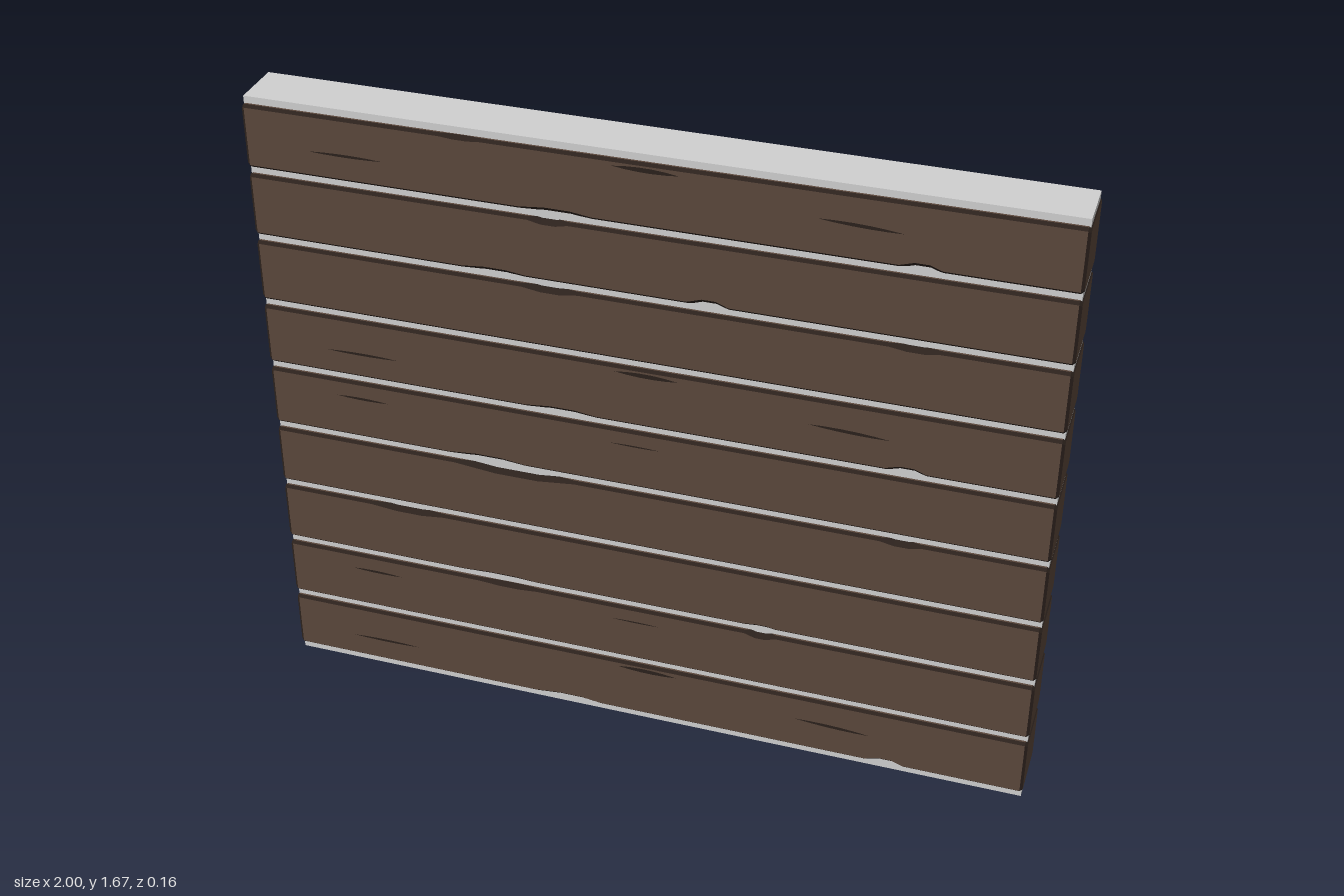
import * as THREE from 'three';

const PITCH = 0.183, FIRST = 0.1025, H = 0.0825, D = 0.08, BEVEL = 0.007;
const TF = 0, BF = 1, BB = 2, TB = 3; // beam edges: top/bottom, front/back

const wood = new THREE.MeshStandardMaterial({ name: 'brown wood', color: 0x5b473b });
const dark = new THREE.MeshStandardMaterial({ name: 'dark edge', color: 0x2b211c });
const mortar = new THREE.MeshStandardMaterial({ name: 'pale filling', color: 0xd0d0d0 });

// Chips per beam, bottom to top: [edge, x, half width, depth]
const chips = [
  [[BF, -0.22, 0.09, 0.014], [BF, 0.64, 0.05, 0.018], [TB, -0.3, 0.1, 0.012]],
  [[TF, 0.3, 0.04, 0.016], [TF, -0.38, 0.08, 0.011], [TB, 0.65, 0.07, 0.018], [TB, -0.25, 0.1, 0.024]],
  [[BF, 0.3, 0.04, 0.011], [BF, -0.4, 0.1, 0.011], [BB, 0.2, 0.12, 0.015], [TF, -0.65, 0.1, 0.014]],
  [[TF, -0.35, 0.16, 0.018], [TF, 0.64, 0.05, 0.014], [TB, 0.5, 0.07, 0.016]],
  [[BF, -0.42, 0.1, 0.014], [TB, 0.65, 0.06, 0.016], [BB, -0.3, 0.1, 0.012]],
  [[BF, -0.22, 0.09, 0.014], [BF, 0.64, 0.05, 0.018], [TB, 0.75, 0.12, 0.016]],
  [[TF, -0.24, 0.07, 0.014], [TF, 0.64, 0.06, 0.013], [TB, 0.65, 0.06, 0.019]],
  [[BF, 0.15, 0.05, 0.019], [BF, -0.38, 0.08, 0.013], [TF, -0.24, 0.05, 0.014], [TB, -0.15, 0.07, 0.022]],
  [[BF, -0.22, 0.09, 0.014], [BF, 0.64, 0.05, 0.018], [BB, -0.15, 0.06, 0.014], [TF, -0.45, 0.05, 0.01]],
];

// Cracks: [x, height above beam centre, length, thickness, tilt]
const manyCracks = [[-0.74, -0.013, 0.19, 0.007, 0.01], [0.5, 0.008, 0.2, 0.009, -0.03], [0, 0.066, 0.16, 0.012, 0]];
const fewCracks = [[-0.75, 0.036, 0.14, 0.007, 0], [-0.03, 0.04, 0.13, 0.004, 0]];
const cracks = { 0: manyCracks, 1: fewCracks, 4: fewCracks, 5: manyCracks, 8: manyCracks };

// Chamfered beam whose bevels widen into chips along its length
function beamGeometry(list) {
  const xs = [-1 + BEVEL, 1 - BEVEL];
  for (const [, x, w] of list) xs.push(x - w, x - w * 0.3, x + w * 0.4, x + w);
  xs.sort((a, b) => a - b);
  const bevelAt = (edge, x) => {
    let c = BEVEL;
    for (const [e, cx, w, depth] of list) {
      if (e !== edge) continue;
      const t = (x - cx) / w;
      const k = t < 0 ? Math.min(1, (1 + t) / 0.7) : Math.min(1, (1 - t) / 0.6);
      if (k > 0) c = Math.max(c, BEVEL + (depth - BEVEL) * k);
    }
    return c;
  };
  const ring = (x, inset) => {
    const h = H - inset, d = D - inset;
    const [a, b, c, e] = [TF, BF, BB, TB].map((i) => bevelAt(i, x));
    return [[h, d - a], [h - a, d], [b - h, d], [-h, d - b],
      [-h, c - d], [c - h, -d], [h - e, -d], [h, e - d]].map(([y, z]) => [x, y, z]);
  };
  const rings = [ring(-1, BEVEL * 0.7), ...xs.map((x) => ring(x, 0)), ring(1, BEVEL * 0.7)];
  const faces = [[], []]; // wood, dark
  for (let i = 0; i < rings.length - 1; i++) {
    const endBevel = i === 0 || i === rings.length - 2;
    for (let j = 0; j < 8; j++) {
      const k = (j + 1) % 8;
      const a = rings[i][j], b = rings[i][k], c = rings[i + 1][k], d = rings[i + 1][j];
      faces[endBevel || j % 2 === 0 ? 1 : 0].push(a, b, c, a, c, d);
    }
  }
  const first = rings[0], last = rings[rings.length - 1];
  for (let j = 1; j < 7; j++) {
    faces[0].push(last[0], last[j], last[j + 1], first[0], first[j + 1], first[j]);
  }
  const geo = new THREE.BufferGeometry();
  geo.setAttribute('position', new THREE.Float32BufferAttribute(faces.flat(2), 3));
  geo.addGroup(0, faces[0].length, 0);
  geo.addGroup(faces[0].length, faces[1].length, 1);
  geo.computeVertexNormals();
  return geo;
}

// Thin pointed sliver
function crackGeometry(length, thick) {
  const s = new THREE.Shape();
  s.moveTo(-length / 2, 0);
  s.quadraticCurveTo(0, -thick, length / 2, -thick * 0.2);
  s.quadraticCurveTo(0, thick, -length / 2, 0);
  return new THREE.ShapeGeometry(s, 5);
}

export function createModel() {
  const model = new THREE.Group();
  model.name = 'beamWall';

  // Filling between the beams
  const core = new THREE.Mesh(new THREE.BoxGeometry(1.994, 1.667, 0.136), mortar);
  core.name = 'filling';
  core.position.y = 0.8335;
  model.add(core);

  chips.forEach((list, i) => {
    const beam = new THREE.Group();
    beam.name = `beam${i + 1}`;
    beam.position.y = FIRST + i * PITCH;
    const body = new THREE.Mesh(beamGeometry(list), [wood, dark]);
    body.name = 'beamBody';
    beam.add(body);
    // Cracks on both faces
    for (const side of [1, -1]) {
      for (const [x, y, length, thick, tilt] of cracks[i] || []) {
        const crack = new THREE.Mesh(crackGeometry(length, thick), dark);
        crack.name = 'crack';
        crack.position.set(x, y, side * (D + 0.0008));
        crack.rotation.set(0, side > 0 ? 0 : Math.PI, tilt);
        beam.add(crack);
      }
    }
    model.add(beam);
  });
  return model;
}
